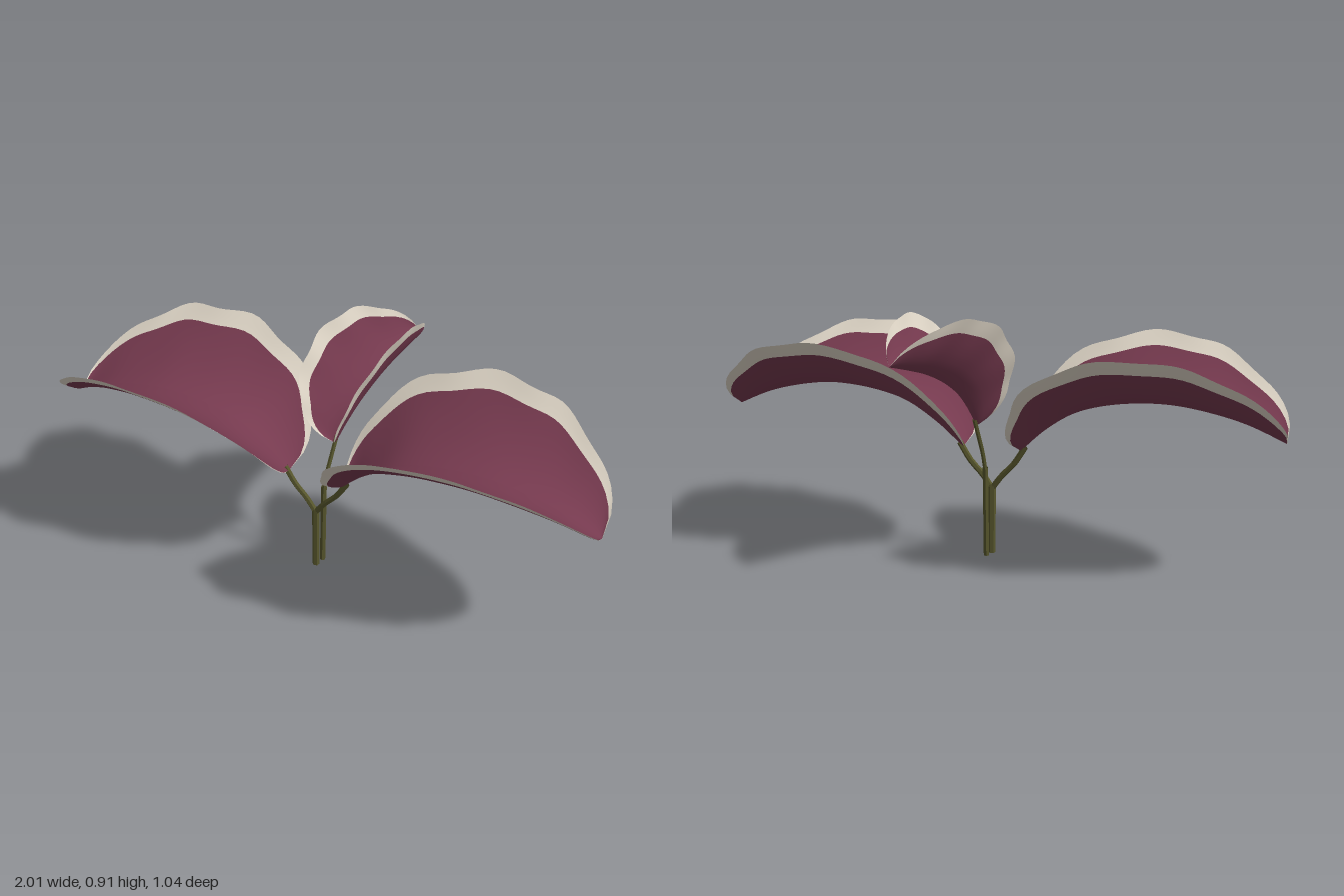
import * as THREE from 'three';

const mat = (name, color) => {
  const m = new THREE.MeshStandardMaterial({ color, side: THREE.DoubleSide });
  m.name = name;
  return m;
};

// One half of a folded leaf: side is +1 or -1 across the midrib.
function halfLeaf({ base, dir, rib, width, rise, ripple }, side) {
  const rows = 40, cols = [0, 0.15, 0.3, 0.45, 0.6, 0.73, 0.85, 0.93, 1];
  const curve = new THREE.SplineCurve(rib.map(([s, y]) => new THREE.Vector2(s, y)));
  const d = new THREE.Vector2(...dir).normalize();
  const pos = [], blade = [], margin = [];
  for (let i = 0; i <= rows; i++) {
    const t = i / rows;
    const c = curve.getPoint(t), tan = curve.getTangent(t);
    const w = Math.pow(Math.max(0, Math.sin(Math.PI * t)), 0.6);
    const wave = Math.sin(t * 30 + side) * ripple;
    for (const v of cols) {
      // sides spread out, and lift along the midrib's normal
      const out = side * w * v * (width + wave * v * v);
      const up = w * (rise * (0.25 * v + 0.75 * v * v) + wave * 0.6 * v * v);
      const s = c.x - tan.y * up, y = c.y + tan.x * up;
      pos.push(base[0] + d.x * s - d.y * out, y, base[1] + d.y * s + d.x * out);
    }
  }
  const n = cols.length;
  for (let i = 0; i < rows; i++) {
    for (let j = 0; j < n - 1; j++) {
      const a = i * n + j, b = a + 1, e = a + n, f = e + 1;
      const quad = side > 0 ? [a, b, e, b, f, e] : [a, e, b, b, e, f];
      (cols[j] >= 0.85 ? margin : blade).push(...quad);
    }
  }
  const g = new THREE.BufferGeometry();
  g.setAttribute('position', new THREE.Float32BufferAttribute(pos, 3));
  g.setIndex([...blade, ...margin]);
  g.addGroup(0, blade.length, 0);
  g.addGroup(blade.length, margin.length, 1);
  g.computeVertexNormals();
  return g;
}

export function createModel() {
  const model = new THREE.Group();
  model.name = 'plant';
  const leafMats = [mat('burgundy leaf', 0x763a4f), mat('cream margin', 0xe0d7c8)];
  const stemMat = mat('olive stem', 0x56552c);
  stemMat.flatShading = true;

  const addLeaf = (name, spec) => {
    const leaf = new THREE.Group();
    leaf.name = name;
    for (const side of [1, -1]) {
      const half = new THREE.Mesh(halfLeaf(spec, side), leafMats);
      half.name = side > 0 ? 'leafHalfA' : 'leafHalfB';
      leaf.add(half);
    }
    model.add(leaf);
  };
  const addStem = (name, points, radius, segments = 8) => {
    const path = new THREE.CatmullRomCurve3(points.map((p) => new THREE.Vector3(...p)));
    const stem = new THREE.Mesh(new THREE.TubeGeometry(path, segments, radius, 6), stemMat);
    stem.name = name;
    model.add(stem);
  };

  // Two large opposite leaves on a forked stem
  addStem('mainStem', [[0, 0, 0.03], [0, 0.26, 0.03]], 0.0135, 1);
  for (const k of [1, -1]) {
    const side = k > 0 ? 'left' : 'right';
    addStem(side + 'Branch', [
      [0, 0.245, 0.03], [k * 0.035, 0.295, 0.03 - k * 0.008],
      [k * 0.08, 0.345, 0.03 - k * 0.02], [k * 0.12, 0.41, 0.03 - k * 0.03],
    ], 0.011);
    addLeaf(side + 'Leaf', {
      base: [k * 0.105, 0.03 - k * 0.027], dir: [k * 0.97, -k * 0.25],
      rib: [[0, 0.395], [0.09, 0.48], [0.2, 0.55], [0.34, 0.588], [0.5, 0.6],
        [0.64, 0.585], [0.78, 0.55], [0.91, 0.495]],
      width: 0.335, rise: 0.2, ripple: 0.01,
    });
  }

  // Small upright rear leaf on its own stem
  addStem('rearStem', [[0, 0, -0.008], [0, 0.335, -0.015]], 0.011, 1);
  addStem('rearBranch', [
    [0, 0.325, -0.015], [0, 0.39, -0.032], [0, 0.45, -0.055], [0, 0.525, -0.085],
  ], 0.008);
  addLeaf('rearLeaf', {
    base: [0, -0.07], dir: [0.06, -1],
    rib: [[0, 0.5], [0.045, 0.567], [0.1, 0.625], [0.18, 0.68], [0.27, 0.722],
      [0.36, 0.75], [0.455, 0.775]],
    width: 0.142, rise: 0.215, ripple: 0.005,
  });
  return model;
}
